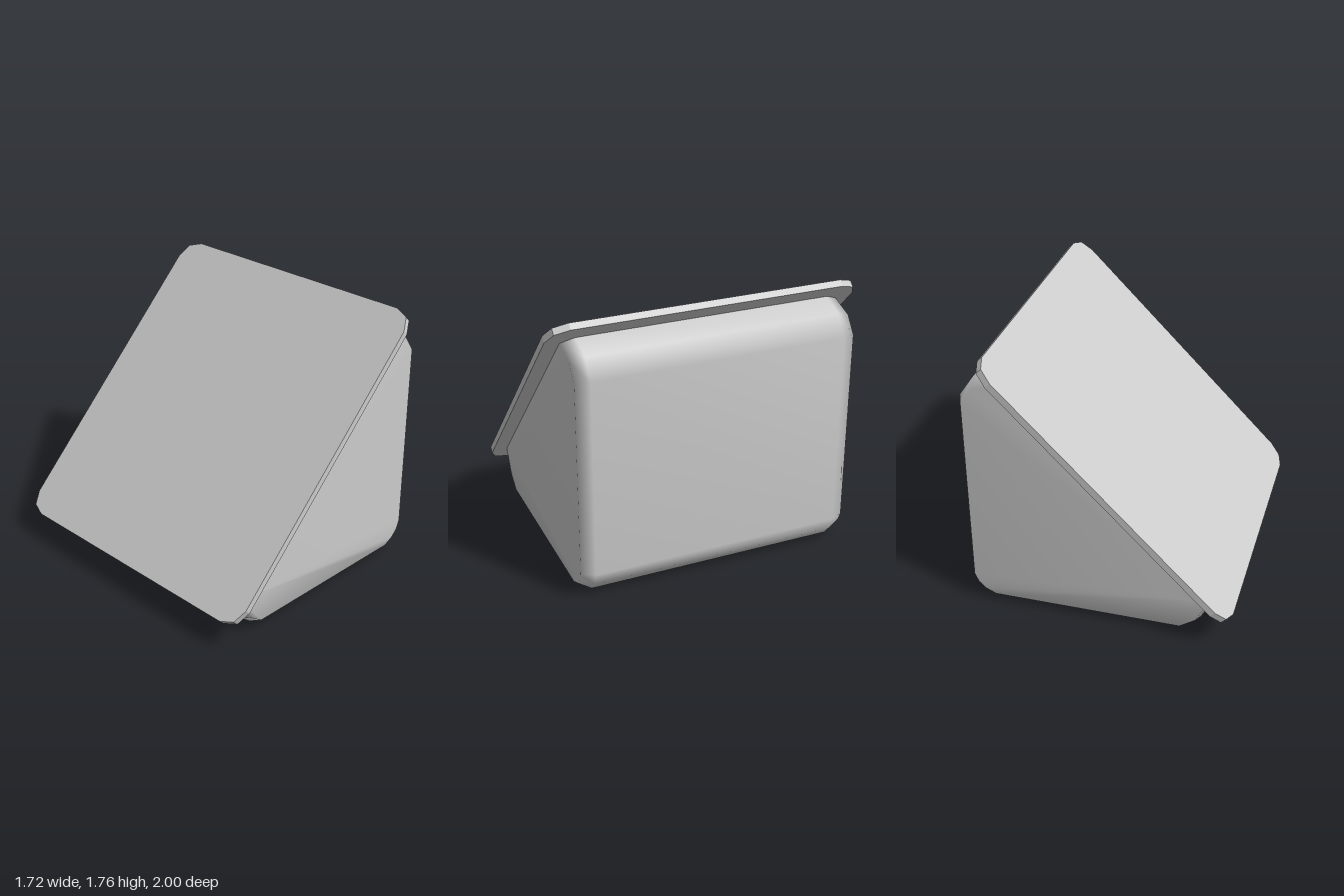
import * as THREE from 'three';

const material = new THREE.MeshStandardMaterial({ color: 0xcccccc });

// Profile of the wedge (x, y), open along the slope, counter-clockwise from its low end
const outer = [
  [-0.74, 0.257], [-0.66, 0.09], [-0.55, 0.003], [0.68, 0.003], [0.77, 0.03],
  [0.83, 0.1], [0.856, 0.18], [0.856, 1.46], [0.77, 1.585], [0.62, 1.643],
];
// The same profile drawn in at the bevelled ends
const inner = [
  [-0.715, 0.282], [-0.635, 0.115], [-0.535, 0.047], [0.68, 0.047], [0.75, 0.08],
  [0.795, 0.125], [0.82, 0.185], [0.82, 1.45], [0.745, 1.555], [0.585, 1.608],
];

// Wedge body: loft over four cross-sections along z, capped at both ends
function wedgeGeometry() {
  const rings = [[inner, -0.9], [outer, -0.815], [outer, 0.815], [inner, 0.9]];
  const n = outer.length;
  const positions = [];
  const index = [];
  for (const [profile, z] of rings) {
    for (const [x, y] of profile) positions.push(x, y, z);
  }
  for (let k = 0; k < rings.length - 1; k++) {
    for (let i = 0; i < n - 1; i++) {
      const a = k * n + i;
      const d = a + n;
      index.push(a, a + 1, d + 1, a, d + 1, d);
    }
  }
  const last = (rings.length - 1) * n;
  for (let i = 1; i < n - 1; i++) {
    index.push(last, last + i, last + i + 1);
    index.push(0, i + 1, i);
  }
  const geometry = new THREE.BufferGeometry();
  geometry.setAttribute('position', new THREE.Float32BufferAttribute(positions, 3));
  geometry.setIndex(index);
  geometry.computeVertexNormals();
  return geometry;
}

// Sloping plate: rectangle with two-sided rounded corners
function plateGeometry(length, width, thickness, radius) {
  const shape = new THREE.Shape();
  const corners = [[1, 1], [-1, 1], [-1, -1], [1, -1]];
  const points = [];
  corners.forEach(([sx, sy], c) => {
    for (let s = 0; s <= 2; s++) {
      const angle = (c + s / 2) * Math.PI / 2;
      points.push(new THREE.Vector2(
        sx * (length / 2 - radius) + radius * Math.cos(angle),
        sy * (width / 2 - radius) + radius * Math.sin(angle),
      ));
    }
  });
  shape.setFromPoints(points);
  const geometry = new THREE.ExtrudeGeometry(shape, { depth: thickness, bevelEnabled: false });
  geometry.rotateX(-Math.PI / 2);
  return geometry;
}

export function createModel() {
  const group = new THREE.Group();
  group.name = 'wedgeWithSlopingPlate';

  const body = new THREE.Mesh(wedgeGeometry(), material);
  body.name = 'wedgeBody';

  const plate = new THREE.Mesh(plateGeometry(2.2, 2, 0.045, 0.13), material);
  plate.name = 'slopingPlate';
  plate.position.set(-0.065, 0.945, 0);
  plate.rotation.z = Math.atan2(1.57, 1.54);

  group.add(body, plate);
  return group;
}
